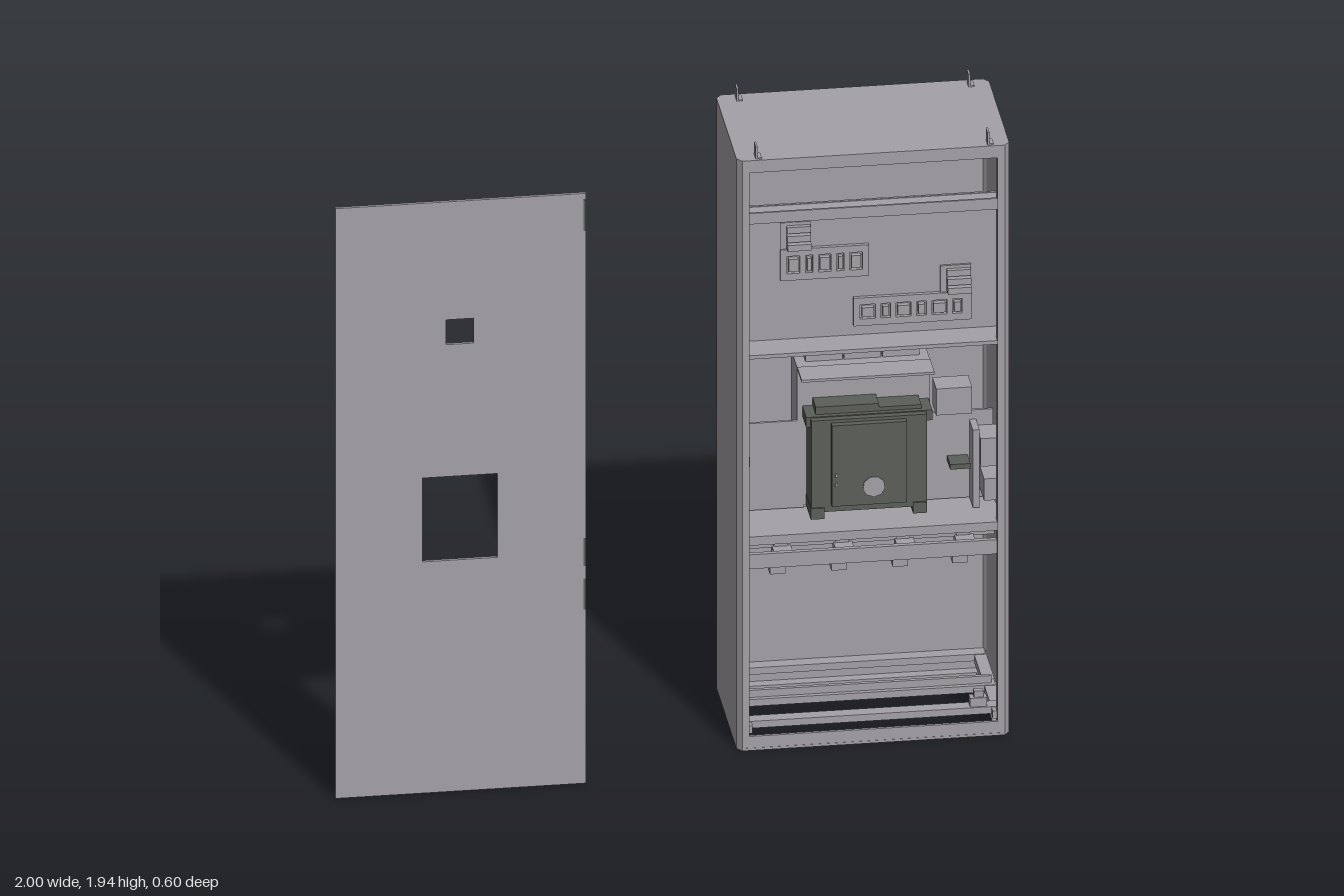
import * as THREE from 'three';

export function createModel() {
  const root = new THREE.Group();
  const sheet = new THREE.MeshStandardMaterial({ color: 0xa5a2a7, side: THREE.DoubleSide });
  sheet.name = 'sheet grey';
  const dark = new THREE.MeshStandardMaterial({ color: 0x5b5f59, side: THREE.DoubleSide });
  dark.name = 'dark grey';

  const group = (name, parent = root) => {
    const g = new THREE.Group();
    g.name = name;
    parent.add(g);
    return g;
  };
  // box given by its limits on each axis
  const box = (parent, name, [x0, x1], [y0, y1], [z0, z1], mat = sheet) => {
    const m = new THREE.Mesh(new THREE.BoxGeometry(x1 - x0, y1 - y0, z1 - z0), mat);
    m.position.set((x0 + x1) / 2, (y0 + y1) / 2, (z0 + z1) / 2);
    m.name = name;
    parent.add(m);
    return m;
  };
  const shapeOf = pts => new THREE.Shape(pts.map(p => new THREE.Vector2(...p)));
  const rect = (x0, x1, y0, y1) => [[x0, y0], [x1, y0], [x1, y1], [x0, y1]];
  const extrude = (parent, name, shape, depth, mat = sheet) => {
    const m = new THREE.Mesh(new THREE.ExtrudeGeometry(shape, { depth, bevelEnabled: false }), mat);
    m.name = name;
    parent.add(m);
    return m;
  };
  // plan outline (x, z) extruded upward from y0
  const plan = (parent, name, pts, y0, h, hole) => {
    const s = shapeOf(pts.map(([x, z]) => [x, -z]));
    if (hole) s.holes.push(shapeOf(hole.map(([x, z]) => [x, -z])));
    const m = extrude(parent, name, s, h);
    m.rotation.x = -Math.PI / 2;
    m.position.y = y0;
    return m;
  };

  // Detached front panel with two cutouts
  const door = group('frontPanel');
  const panel = shapeOf(rect(-1, -0.265, 0, 1.9));
  panel.holes.push(shapeOf(rect(-0.675, -0.595, 1.44, 1.52)));
  panel.holes.push(shapeOf(rect(-0.745, -0.525, 0.745, 1.015)));
  extrude(door, 'panelSheet', panel, 0.01).position.z = 0.289;
  for (const [y0, y1] of [[1.78, 1.88], [0.7, 0.79], [0.56, 0.66]])
    box(door, 'hingeStrip', [-0.272, -0.265], [y0, y1], [0.285, 0.3], dark);

  // Cabinet shell: one folded sheet with front returns, plus roof and base rim
  const cab = group('cabinet');
  const outline = [[0.215, 0.15], [0.2, 0.13], [0.2, -0.28], [0.215, -0.3],
    [0.985, -0.3], [1, -0.28], [1, 0.13], [0.985, 0.15]];
  plan(cab, 'shell', [[0.225, 0.15], ...outline, [0.975, 0.15], [0.975, 0.142], [0.985, 0.142],
    [0.992, 0.128], [0.992, -0.278], [0.983, -0.292], [0.217, -0.292], [0.208, -0.278],
    [0.208, 0.128], [0.215, 0.142], [0.225, 0.142]], 0, 1.9);
  plan(cab, 'roof', outline, 1.892, 0.008);
  plan(cab, 'baseRim', outline, 0, 0.008, rect(0.24, 0.96, -0.26, 0.11));
  box(cab, 'topLip', [0.215, 0.985], [1.86, 1.9], [0.14, 0.149]);
  box(cab, 'bottomLip', [0.215, 0.985], [0, 0.045], [0.14, 0.149]);
  for (const x of [0.23, 0.97]) {
    box(cab, 'frontPost', [x - 0.006, x + 0.006], [0.01, 1.89], [0.115, 0.148]);
    box(cab, 'baseSideRail', [x - 0.018, x + 0.018], [0.045, 0.07], [-0.29, 0.13]);
  }
  for (const x of [0.258, 0.938])
    for (const z of [0.125, -0.268]) {
      box(cab, 'liftingTab', [x - 0.003, x + 0.003], [1.9, 1.94], [z - 0.017, z + 0.017]);
      box(cab, 'tabFoot', [x - 0.003, x + 0.015], [1.9, 1.904], [z - 0.017, z + 0.017]);
    }
  box(cab, 'rearEarthMark', [0.312, 0.326], [0.05, 0.09], [-0.303, -0.299], dark);

  // Base cross rails with a cable clamp
  const base = group('baseRails');
  for (const z of [0.085, -0.06, -0.27])
    box(base, 'crossRail', [0.215, 0.985], [0.05, 0.072], [z - 0.02, z + 0.02]);
  box(base, 'earthBar', [0.225, 0.975], [0.072, 0.095], [-0.066, -0.054]);
  box(base, 'clampFoot', [0.89, 0.94], [0.07, 0.1], [0.07, 0.1]);
  box(base, 'clampTop', [0.902, 0.93], [0.1, 0.12], [0.075, 0.095]);

  // Upper control plate between two folded cross beams
  const control = group('controlPlate');
  box(control, 'plate', [0.225, 0.975], [1.26, 1.7], [0.035, 0.043]);
  box(control, 'upperBeamFlange', [0.222, 0.978], [1.69, 1.698], [0.035, 0.14]);
  box(control, 'upperBeamFace', [0.222, 0.978], [1.69, 1.725], [0.133, 0.14]);
  box(control, 'lowerBeamFlange', [0.222, 0.978], [1.255, 1.267], [-0.03, 0.14]);
  box(control, 'lowerBeamFace', [0.222, 0.978], [1.185, 1.255], [-0.03, -0.022]);
  const terminalRow = (x0, x1, y0, y1, slots) => {
    const s = shapeOf(rect(x0, x1, y0, y1));
    const pitch = (x1 - x0 - 0.03) / slots;
    for (let i = 0; i < slots; i++) {
      const a = x0 + 0.015 + i * pitch;
      const inset = i % 2 ? 0.012 : 0.004;
      s.holes.push(shapeOf(rect(a + inset, a + pitch - inset, y0 + 0.022, y1 - 0.022)));
      box(control, 'terminal', [a + inset + 0.005, a + pitch - inset - 0.005],
        [y0 + 0.03, y1 - 0.03], [0.043, 0.06]);
    }
    extrude(control, 'terminalFrame', s, 0.012).position.z = 0.043;
  };
  const relay = (x0, x1, y0) => {
    box(control, 'relayBase', [x0, x1], [y0, y0 + 0.085], [0.043, 0.05]);
    for (let i = 0; i < 3; i++)
      box(control, 'relayStep', [x0 + 0.018, x1 - 0.002], [y0 + 0.005 + i * 0.025, y0 + 0.025 + i * 0.025],
        [0.05, 0.08 - i * 0.008]);
  };
  terminalRow(0.34, 0.6, 1.46, 1.56, 5);
  relay(0.34, 0.43, 1.56);
  terminalRow(0.555, 0.9, 1.3, 1.39, 6);
  relay(0.81, 0.9, 1.39);

  // Circuit breaker
  const breaker = group('circuitBreaker');
  box(breaker, 'rearBody', [0.4, 0.79], [0.7, 1.14], [-0.15, -0.02]);
  box(breaker, 'hood', [0.4, 0.79], [1.136, 1.144], [-0.02, 0.07]);
  for (let i = 0; i < 3; i++) {
    const x = 0.43 + i * 0.113;
    box(breaker, 'upperTerminal', [x, x + 0.108], [1.14, 1.205], [-0.19, -0.06]);
    box(breaker, 'lowerTerminal', [x + 0.03, x + 0.08], [0.54, 0.71], [-0.12, -0.1]);
  }
  box(breaker, 'frame', [0.427, 0.766], [0.72, 1.015], [-0.02, 0.08], dark);
  box(breaker, 'topCap', [0.415, 0.785], [0.985, 1.018], [-0.02, 0.06], dark);
  box(breaker, 'topRidge', [0.445, 0.63], [1.018, 1.042], [-0.02, 0.045], dark);
  box(breaker, 'topRidgeLow', [0.63, 0.755], [1.018, 1.03], [-0.02, 0.045], dark);
  box(breaker, 'cover', [0.485, 0.705], [0.745, 1.005], [0.08, 0.1], dark);
  for (const x of [0.445, 0.745])
    box(breaker, 'foot', [x - 0.02, x + 0.02], [0.7, 0.735], [-0.02, 0.085], dark);
  const label = new THREE.Mesh(new THREE.CylinderGeometry(0.033, 0.033, 0.004, 9), sheet);
  label.name = 'dial';
  label.rotation.x = Math.PI / 2;
  label.position.set(0.608, 0.803, 0.102);
  breaker.add(label);
  for (const y of [0.81, 0.84])
    box(breaker, 'indicator', [0.494, 0.502], [y, y + 0.01], [0.1, 0.104]);

  // Side brackets and auxiliary blocks beside the breaker
  const side = group('sideBrackets');
  box(side, 'leftPlate', [0.25, 0.42], [0.69, 0.97], [-0.03, -0.022]);
  box(side, 'leftArm', [0.21, 0.25], [0.87, 0.9], [-0.03, 0.06]);
  box(side, 'rightPlate', [0.78, 0.975], [0.69, 0.97], [-0.03, -0.022]);
  box(side, 'upperBlock', [0.805, 0.91], [0.97, 1.055], [-0.08, 0]);
  box(side, 'auxStrip', [0.905, 0.925], [0.69, 0.94], [-0.022, 0.05]);
  box(side, 'auxBlock', [0.925, 0.985], [0.83, 0.92], [-0.022, 0.07]);
  box(side, 'auxBlockLow', [0.935, 0.985], [0.72, 0.79], [-0.022, 0.07]);
  box(side, 'auxPin', [0.84, 0.9], [0.812, 0.828], [-0.022, 0.04], dark);

  // Lower shelf, round-ended bar and cable lugs
  const lower = group('lowerBeams');
  box(lower, 'shelf', [0.222, 0.978], [0.675, 0.683], [-0.04, 0.14]);
  box(lower, 'shelfFace', [0.222, 0.978], [0.655, 0.683], [0.133, 0.14]);
  box(lower, 'shelfBackFace', [0.222, 0.978], [0.62, 0.68], [-0.04, -0.032]);
  const bar = new THREE.Shape();
  bar.absarc(0.245, 0.598, 0.023, Math.PI / 2, Math.PI * 1.5);
  bar.absarc(0.955, 0.598, 0.023, -Math.PI / 2, Math.PI / 2);
  extrude(lower, 'roundEndedBar', bar, 0.015).position.z = 0.115;
  for (const x of [0.31, 0.49, 0.67, 0.845]) {
    const lug = shapeOf([[x, 0.515], [x + 0.045, 0.515], [x + 0.045, 0.54], [x + 0.07, 0.54],
      [x + 0.07, 0.575], [x + 0.015, 0.575], [x + 0.015, 0.54], [x, 0.54]]);
    extrude(lower, 'cableLug', lug, 0.08).position.z = -0.03;
    box(lower, 'lugStrap', [x + 0.02, x + 0.06], [0.57, 0.68], [-0.02, -0.01]);
  }
  box(lower, 'lugCarrier', [0.222, 0.978], [0.57, 0.6], [-0.03, -0.015]);
  return root;
}
